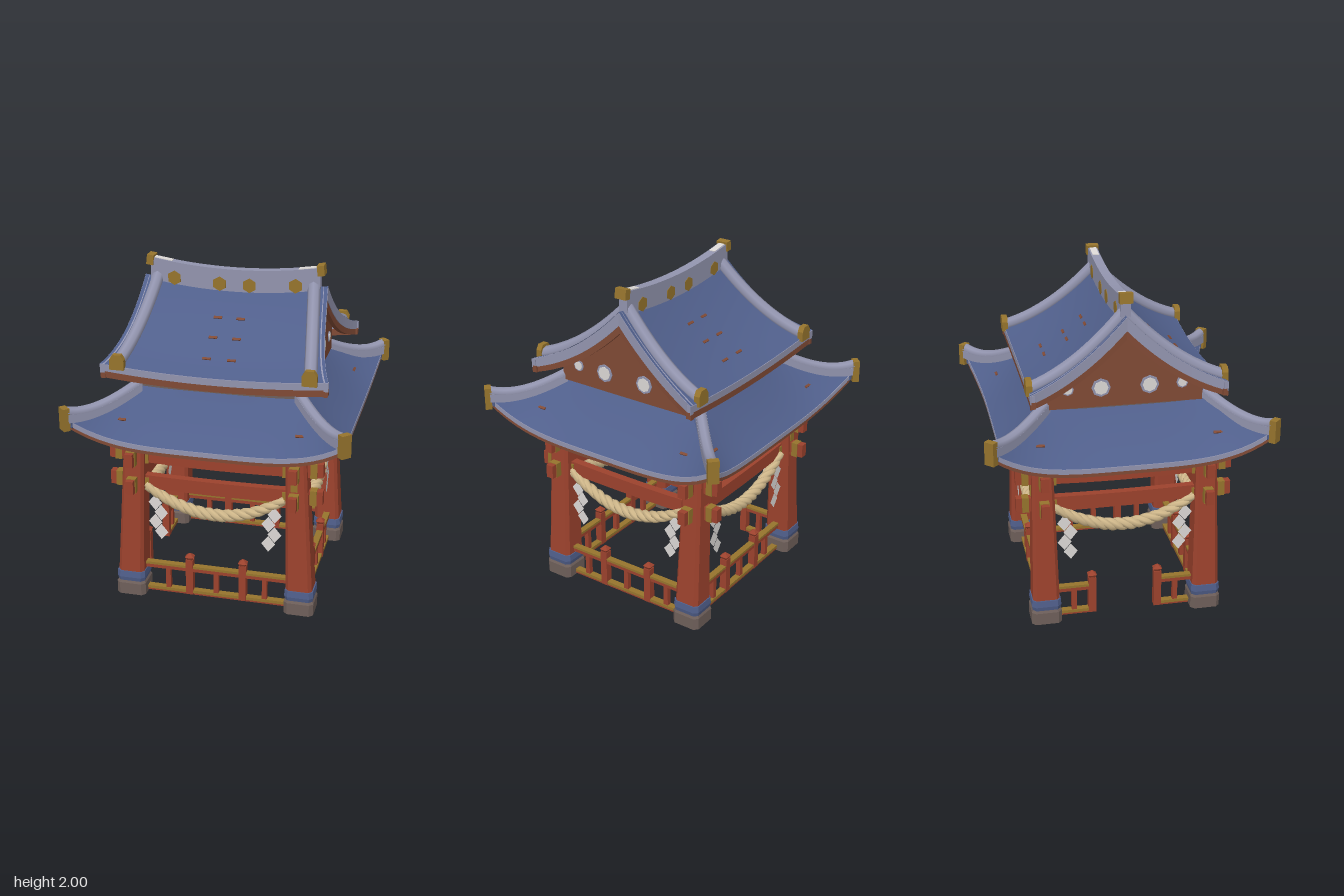
import * as THREE from 'three';

const mat = (name, color) => {
  const m = new THREE.MeshStandardMaterial({ color, side: THREE.DoubleSide });
  m.name = name;
  return m;
};
const V = (x, y, z) => new THREE.Vector3(x, y, z);
const lerp = THREE.MathUtils.lerp;

export function createModel() {
  const red = mat('vermilion wood', 0x9c422d), blue = mat('blue tile', 0x505f8b);
  const grey = mat('pale ridge tile', 0x9294ae), gold = mat('brass', 0x96742d);
  const brown = mat('brown timber', 0x804a35), stone = mat('stone', 0x6e5f5a);
  const straw = mat('straw rope', 0xcfb78a), paper = mat('paper', 0xdcd8d6);
  const model = new THREE.Group();
  model.name = 'shrinePavilion';

  const add = (parent, name, geo, m, x = 0, y = 0, z = 0) => {
    const mesh = new THREE.Mesh(geo, m);
    mesh.name = name;
    mesh.position.set(x, y, z);
    parent.add(mesh);
    return mesh;
  };
  const box = (parent, name, m, w, h, d, x, y, z) => add(parent, name, new THREE.BoxGeometry(w, h, d), m, x, y, z);

  // Flat-shaded solid through closed rings of equal length
  const loft = (rings) => {
    const n = rings[0].length, pos = [], idx = [];
    rings.forEach((r) => r.forEach((p) => pos.push(p.x, p.y, p.z)));
    for (let i = 0; i < rings.length - 1; i++) for (let j = 0; j < n; j++) {
      const a = i * n + j, b = i * n + (j + 1) % n;
      idx.push(a, b, a + n, b, b + n, a + n);
    }
    const e = (rings.length - 1) * n;
    for (let j = 1; j < n - 1; j++) idx.push(0, j + 1, j, e, e + j, e + j + 1);
    const g = new THREE.BufferGeometry();
    g.setAttribute('position', new THREE.Float32BufferAttribute(pos, 3));
    g.setIndex(idx);
    const flat = g.toNonIndexed();
    flat.computeVertexNormals();
    return flat;
  };
  // Rectangular section carried along a path; o = range along "out", h = range in height
  const sweep = (path, n, out, o, h, scale = () => 1) => {
    const rings = [];
    for (let i = 0; i <= n; i++) {
      const p = path(i / n), k = scale(i / n);
      rings.push([[0, 0], [1, 0], [1, 1], [0, 1]].map(([a, b]) =>
        p.clone().addScaledVector(out, o[a]).add(V(0, h[b] * k, 0))));
    }
    return loft(rings);
  };
  // Smooth sheet from a two-parameter rule
  const sheet = (f, nu, nv) => {
    const g = new THREE.PlaneGeometry(1, 1, nu, nv), p = g.attributes.position;
    for (let i = 0; i < p.count; i++) {
      const q = f(p.getX(i) + 0.5, 0.5 - p.getY(i));
      p.setXYZ(i, q.x, q.y, q.z);
    }
    g.computeVertexNormals();
    return g;
  };
  const tube = (f, n, r, sides) => new THREE.TubeGeometry(
    new THREE.CatmullRomCurve3(Array.from({ length: n + 1 }, (_, i) => f(i / n))), n * 2, r, sides);
  const X = V(1, 0, 0), Z = V(0, 0, 1), diagonal = V(Math.SQRT1_2, 0, -Math.SQRT1_2);

  // Pillars with stone feet and blue collars
  const ring = (cx, y, cz, r) => {
    const c = r * 0.75;
    return [[r, c], [c, r], [-c, r], [-r, c], [-r, -c], [-c, -r], [c, -r], [r, -c]].map(([a, b]) => V(cx + a, y, cz + b));
  };
  for (const sx of [1, -1]) for (const sz of [1, -1]) {
    const z = sz * 0.485;
    add(model, 'pillar', loft([ring(sx * 0.52, 0.12, z, 0.08), ring(sx * 0.48, 1.06, z, 0.06)]), red);
    add(model, 'pillarFoot', loft([ring(sx * 0.52, 0, z, 0.09), ring(sx * 0.52, 0.075, z, 0.09), ring(sx * 0.52, 0.095, z, 0.08)]), stone);
    add(model, 'pillarCollar', loft([ring(sx * 0.52, 0.09, z, 0.083), ring(sx * 0.52, 0.115, z, 0.088), ring(sx * 0.52, 0.155, z, 0.085)]), blue);
  }

  // Lower roof rule: s runs along a side, t from the top to the eave
  const lower = (s, t, k) => {
    const inA = k % 2 ? 0.45 : 0.48, inO = k % 2 ? 0.48 : 0.45, mid = k % 2 ? 0.75 : 0.71, c = s ** 4;
    return V(s * lerp(inA, 0.79, t),
      1.325 - 0.26 * (1.3 * t - 0.3 * t * t) + c * (0.01 + 0.1 * t + 0.05 * t ** 3),
      lerp(inO, mid + (0.79 - mid) * c, t));
  };
  // Small plate lying on a roof slope
  const tileMark = (parent, rule, s, t) => {
    const p = rule(s, t), q = rule(s, t + 0.02);
    box(parent, 'tileMark', brown, 0.05, 0.008, 0.015, p.x, p.y + 0.003, p.z).rotation.x = Math.atan2(p.y - q.y, q.z - p.z);
  };

  // Zigzag paper streamer made of four diamonds
  const diamond = new THREE.Shape([[0, 0.052], [0.042, 0], [0, -0.052], [-0.042, 0]].map((p) => new THREE.Vector2(...p)));
  const streamer = (parent, x, z, dir) => {
    for (let i = 0; i < 4; i++)
      add(parent, 'paperStreamer', new THREE.ShapeGeometry(diamond), paper, x + dir * (i % 2 ? -0.018 : 0.018), 0.622 - i * 0.063, z + i * 0.001);
  };

  // Four sides, each built facing +z and then turned
  for (let k = 0; k < 4; k++) {
    const side = new THREE.Group();
    side.name = ['front', 'left', 'back', 'right'][k] + 'Side';
    side.rotation.y = k * Math.PI / 2;
    model.add(side);

    // Bowed tie beams with brass fittings
    for (const [y, bow] of [[0.905, 0.022], [0.74, 0.014]]) {
      add(side, 'tieBeam', sweep((u) => V((2 * u - 1) * 0.64, y + bow * (2 * u - 1) ** 2, 0.485), 10, Z, [-0.024, 0.024], [-0.042, 0.042]), red);
      for (const s of [1, -1]) {
        box(side, 'beamSleeve', gold, 0.04, 0.092, 0.056, s * 0.585, y + bow * 0.85, 0.485);
        box(side, 'beamBracket', gold, 0.035, 0.075, 0.06, s * 0.42, y + bow * 0.4 - 0.01, 0.485);
      }
    }
    if (k % 2 === 0) box(side, 'brassStrut', gold, 0.04, 0.08, 0.02, 0.48, 0.84, 0.545);

    // Three-strand rope and its streamers
    for (let j = 0; j < 3; j++) add(side, 'ropeStrand', tube((u) => {
      const s = 2 * u - 1, a = u * 10 * Math.PI + j * Math.PI * 2 / 3, r = 0.008 + 0.010 * (1 - s * s);
      return V(s * 0.42, 0.572 + 0.15 * s * s + r * Math.cos(a), 0.505 + r * Math.sin(a));
    }, 48, 0.022, 7), straw);
    for (const s of [1, -1]) streamer(side, s * 0.345, 0.525, s);

    // Railing; the right side has a doorway
    const o = k % 2 ? 0.52 : 0.485, door = k === 3, tall = door ? 0.2 : 0.165;
    for (const [a, b] of door ? [[-0.44, -0.2], [0.2, 0.44]] : [[-0.44, 0.44]]) {
      const w = b - a, c = (a + b) / 2;
      box(side, 'bottomRail', red, w, 0.014, 0.036, c, 0.015, o);
      box(side, 'bottomRailCapping', gold, w, 0.018, 0.04, c, 0.028, o);
      box(side, 'topRail', red, w, 0.024, 0.035, c, 0.177, o);
      box(side, 'railCapping', gold, w, 0.015, 0.04, c, 0.195, o);
    }
    for (const x of door ? [-0.31, 0.31] : [-0.3, 0, 0.3]) box(side, 'baluster', red, 0.03, 0.14, 0.03, x, 0.1, o);
    for (const s of [1, -1]) {
      box(side, 'railPost', red, 0.045, 0.235, 0.045, s * tall, 0.1275, o);
      const cap = add(side, 'railFinial', loft([ring(0, 0.245, 0, 0.018), ring(0, 0.262, 0, 0.027), ring(0, 0.282, 0, 0.006)]), red);
      cap.position.set(s * tall, 0, o);
    }

    // Lower roof slope with eave trims under its edge
    add(side, 'lowerRoofSlope', sheet((u, t) => lower(2 * u - 1, t, k), 28, 10), blue);
    const eave = (u) => lower(2 * u - 1, 1, k);
    add(side, 'lowerEaveTile', sweep(eave, 28, Z, [-0.012, 0.002], [-0.03, -0.002]), grey);
    add(side, 'lowerEaveBoard', sweep(eave, 28, Z, [-0.016, -0.002], [-0.052, -0.03]), brown);
    add(side, 'lowerEaveLining', sweep(eave, 28, Z, [-0.03, -0.012], [-0.05, -0.002]), blue);
    for (const s of [1, -1]) tileMark(side, (a, t) => lower(a, t, k), s * 0.78, 0.6);
    // Hip ridge and its brass end
    const hip = (t) => V(lerp(0.48, 0.79, t), lower(1, t, 0).y, lerp(0.45, 0.79, t));
    add(side, 'hipRidge', tube((t) => hip(t).add(V(0, 0.03 + 0.015 * t ** 4, 0)), 12, 0.032, 8), grey);
    add(side, 'hipRidgeBase', sweep(hip, 12, diagonal, [-0.031, 0.031], [-0.015, 0.035]), grey);
    box(side, 'hipRidgeEnd', gold, 0.062, 0.135, 0.04, 0.798, 1.23, 0.798).rotation.y = Math.PI / 4;
  }

  // Open wall ring between the two roofs
  for (const s of [1, -1]) {
    box(model, 'upperWall', stone, 0.97, 0.13, 0.02, 0, 1.375, s * 0.43);
    box(model, 'upperWall', stone, 0.02, 0.13, 0.86, s * 0.475, 1.375, 0);
  }

  // Upper roof rule: s along the ridge, t from ridge to eave
  const width = (t) => 0.55 + 0.06 * t + 0.05 * t ** 3;
  const upper = (s, t) => V(s * width(t), 1.83 - 0.38 * (1.6 * t - 0.6 * t * t) + 0.04 * s * s, (0.545 + 0.015 * s * s) * t);
  const arch = new THREE.Shape([[-0.043, -0.045], [0.043, -0.045], [0.043, 0.015], [0.024, 0.045], [-0.024, 0.045], [-0.043, 0.015]].map((p) => new THREE.Vector2(...p)));
  for (let k = 0; k < 2; k++) {
    const half = new THREE.Group();
    half.name = k ? 'upperRoofBack' : 'upperRoofFront';
    half.rotation.y = k * Math.PI;
    model.add(half);
    add(half, 'upperRoofSlope', sheet((u, t) => upper(2 * u - 1, t), 20, 14), blue);
    add(half, 'upperRoofSoffit', sheet((u, t) => upper(2 * u - 1, t).add(V(0, -0.035, 0)), 20, 14), brown);
    const eave = (u) => upper(2 * u - 1, 1);
    add(half, 'upperEaveTile', sweep(eave, 20, Z, [-0.025, 0.002], [-0.042, -0.002]), grey);
    add(half, 'upperEaveBoard', sweep(eave, 20, Z, [-0.03, -0.002], [-0.082, -0.042]), brown);
    for (const s of [1, -1]) {
      const verge = (t) => upper(s, t);
      const range = (a, b) => (s > 0 ? [a, b] : [-b, -a]);
      const steep = (t) => lerp(1.5, 1, t);
      add(half, 'vergeTile', sweep(verge, 14, X, range(-0.025, 0.002), [-0.055, -0.002], steep), grey);
      add(half, 'vergeBoard', sweep(verge, 14, X, range(-0.03, -0.002), [-0.088, -0.055], steep), brown);
      add(half, 'descendingRidge', tube((t) => upper(s * lerp(0.47, 0.56, t) / width(t), t).add(V(0, 0.015, 0)), 12, 0.038, 8), grey);
      add(half, 'descendingRidgeEnd', new THREE.ExtrudeGeometry(arch, { depth: 0.035, bevelEnabled: false }), gold, s * 0.557, 1.507, 0.54);
      for (const t of [0.28, 0.48, 0.73]) tileMark(half, upper, s * 0.12, t);
    }
  }

  // Gable panels with round crests
  const gable = new THREE.Shape();
  gable.moveTo(-0.45, 1.335).lineTo(0.45, 1.335);
  for (let i = -10; i <= 10; i++) {
    const z = -i * 0.045, p = upper(0.88, Math.abs(z) / 0.557);
    gable.lineTo(z, p.y - 0.025);
  }
  for (const s of [1, -1]) {
    const panel = add(model, 'gablePanel', new THREE.ExtrudeGeometry(gable, { depth: 0.02, bevelEnabled: false }), brown, s * 0.5 - 0.01, 0, 0);
    panel.rotation.y = Math.PI / 2;
    for (const [z, r] of [[-0.14, 0.055], [0.14, 0.055], [-0.33, 0.035], [0.33, 0.035]]) {
      for (const [name, m, q, x] of [['crestRim', grey, r, 0.512], ['crest', paper, r * 0.75, 0.516]])
        add(model, name, new THREE.CylinderGeometry(q, q, 0.006, 8), m, s * x, 1.45, z).rotation.z = Math.PI / 2;
    }
  }

  // Main ridge, brass ends, pale end strips and plaques
  add(model, 'mainRidge', sweep((u) => V((2 * u - 1) * 0.51, 1.88 + 0.045 * (2 * u - 1) ** 2, 0), 16, Z, [-0.028, 0.028], [-0.075, 0.058]), grey);
  for (const s of [1, -1]) {
    box(model, 'mainRidgeEnd', gold, 0.042, 0.06, 0.075, s * 0.512, 1.967, 0).rotation.z = s * 0.12;
    box(model, 'ridgeEndStrip', paper, 0.11, 0.008, 0.04, s * 0.435, 1.971, 0).rotation.z = s * 0.15;
    for (const [x, y] of [[0.365, 1.865], [0.09, 1.848]]) for (const f of [1, -1])
      add(model, 'ridgePlaque', new THREE.CylinderGeometry(0.044, 0.044, 0.006, 6), gold, s * x, y, f * 0.028).rotation.x = Math.PI / 2;
  }
  return model;
}
